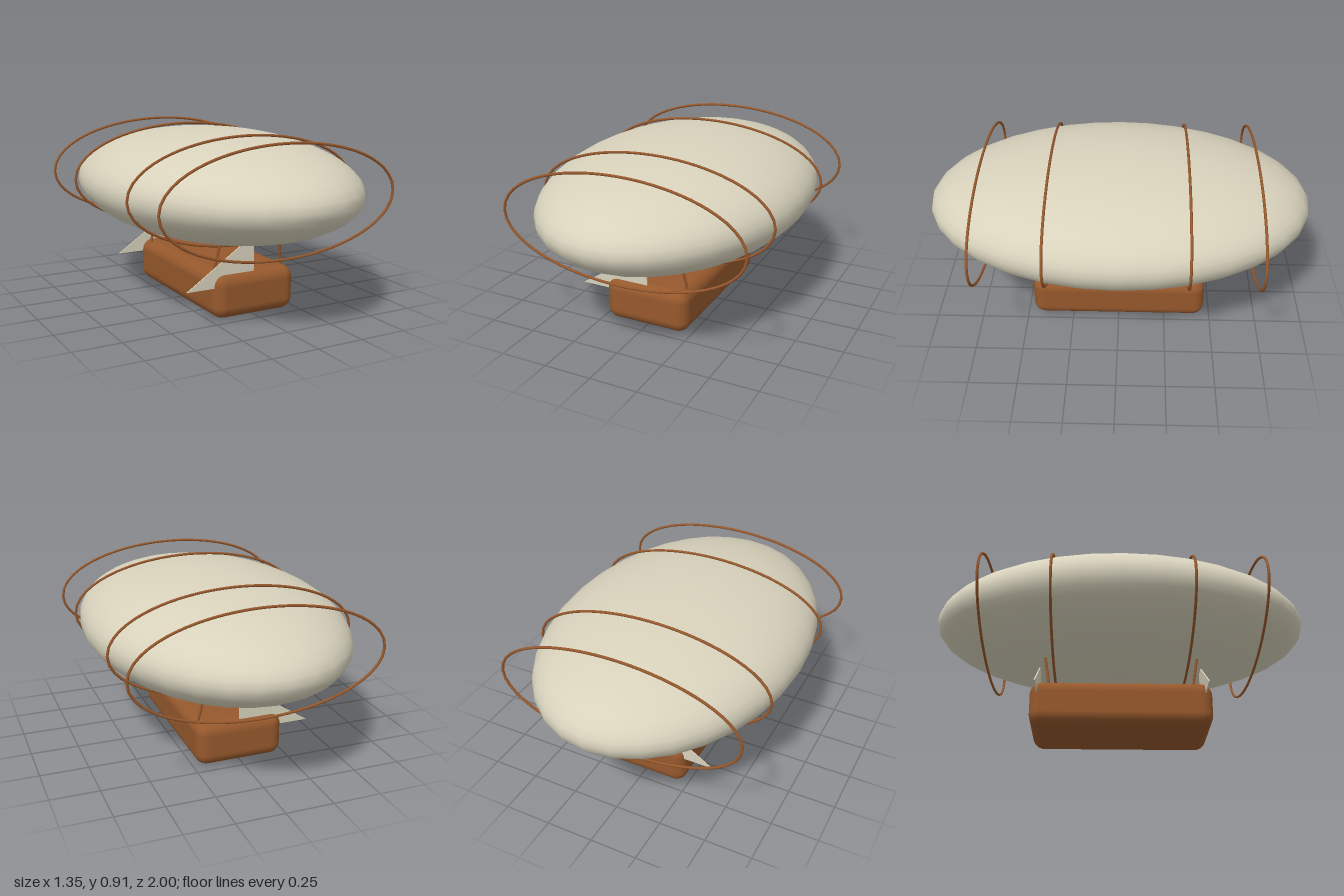
import * as THREE from 'three';
import { RoundedBoxGeometry } from 'three/addons/geometries/RoundedBoxGeometry.js';

const canvas = new THREE.MeshStandardMaterial({ color: 0xd8d2bc });
canvas.name = 'cream canvas';
const leather = new THREE.MeshStandardMaterial({ color: 0x96582c });
leather.name = 'brown wood';

const CENTRE_Y = 0.627;

// Closed elliptical hoop lying in the xy plane
class Hoop extends THREE.Curve {
  constructor(rx, ry) {
    super();
    this.rx = rx;
    this.ry = ry;
  }
  getPoint(t, target = new THREE.Vector3()) {
    const a = t * Math.PI * 2;
    return target.set(this.rx * Math.cos(a), this.ry * Math.sin(a), 0);
  }
}

export function createModel() {
  const model = new THREE.Group();
  model.name = 'airship';

  const add = (name, geometry, material, x = 0, y = 0, z = 0) => {
    const mesh = new THREE.Mesh(geometry, material);
    mesh.name = name;
    mesh.position.set(x, y, z);
    model.add(mesh);
    return mesh;
  };

  // Straight round rod between two points
  const addRod = (name, from, to, radius) => {
    const dir = to.clone().sub(from);
    const rod = add(name, new THREE.CylinderGeometry(radius, radius, dir.length(), 8), leather);
    rod.position.copy(from).add(to).multiplyScalar(0.5);
    rod.quaternion.setFromUnitVectors(new THREE.Vector3(0, 1, 0), dir.normalize());
  };

  // Flattened gas envelope
  const envelope = new THREE.SphereGeometry(1, 32, 24).scale(0.673, 0.283, 1);
  add('envelope', envelope, canvas, 0, CENTRE_Y, 0);

  // Four equal hoops around the envelope
  const hoop = new THREE.TubeGeometry(new Hoop(0.653, 0.278), 64, 0.007, 8, true);
  for (const z of [-0.705, -0.353, 0.353, 0.705]) add('hoop', hoop, leather, 0, CENTRE_Y, z);

  // Gondola
  add('gondola', new RoundedBoxGeometry(0.466, 0.233, 0.936, 5, 0.062), leather, 0, 0.1165, 0);

  // Splayed struts between gondola and envelope
  for (const sx of [-1, 1]) {
    for (const sz of [-1, 1]) {
      addRod('strut',
        new THREE.Vector3(sx * 0.206, 0.19, sz * 0.365),
        new THREE.Vector3(sx * 0.168, 0.42, sz * 0.402), 0.007);
    }
  }

  // Thin triangular fins, one at each end, both reaching to -x
  const finShape = new THREE.Shape([
    new THREE.Vector2(-0.38, 0.165),
    new THREE.Vector2(0, 0.165),
    new THREE.Vector2(0, 0.416),
  ]);
  const fin = new THREE.ExtrudeGeometry(finShape, { depth: 0.006, bevelEnabled: false });
  fin.translate(0, 0, -0.003);
  for (const z of [-0.43, 0.43]) add('fin', fin, canvas, 0, 0, z);

  return model;
}
